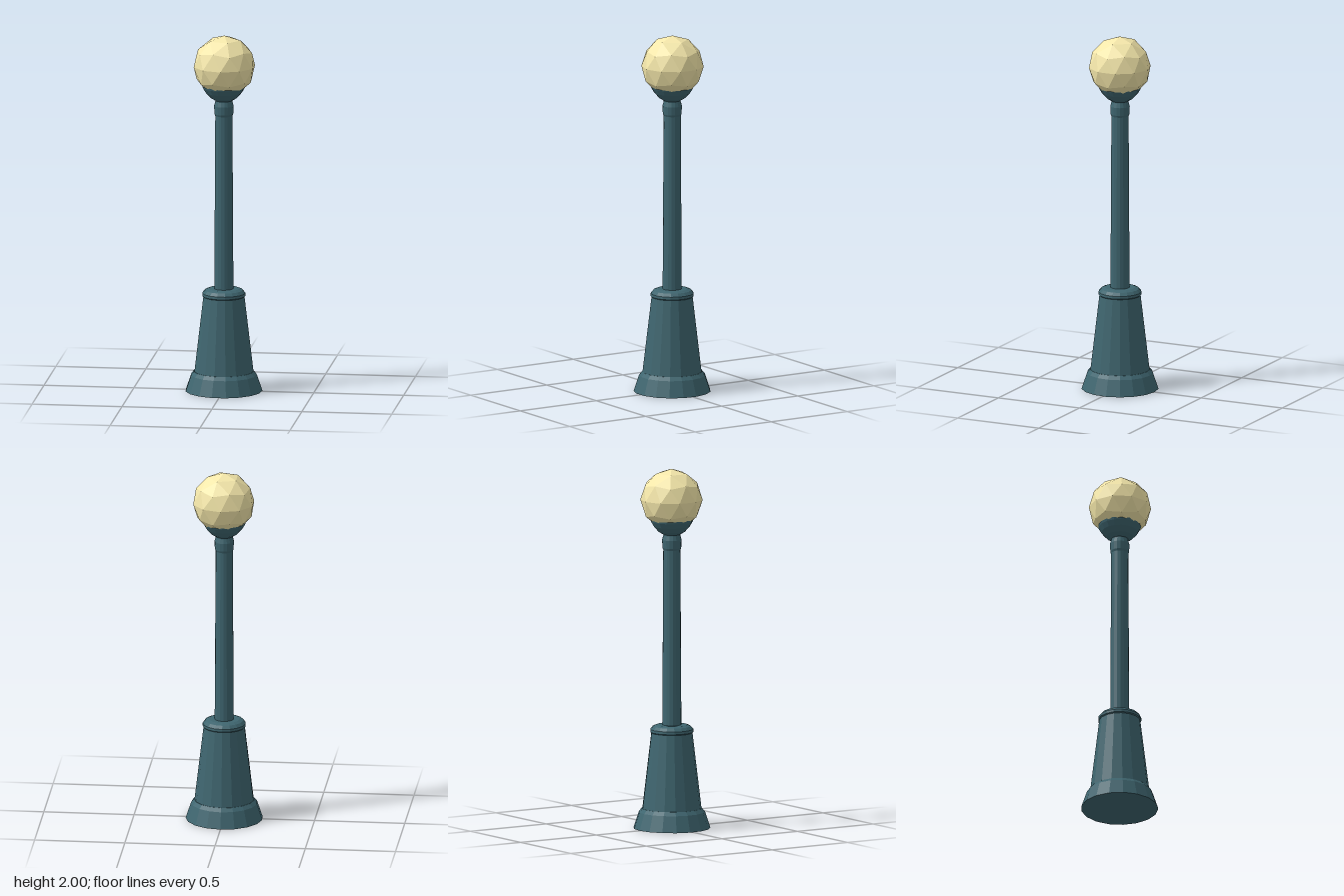
import * as THREE from 'three';

const SIDES = 17;

export function createModel() {
  const model = new THREE.Group();
  const iron = new THREE.MeshStandardMaterial({ color: 0x3f6670, flatShading: true });
  const glow = new THREE.MeshStandardMaterial({ color: 0xf4e7aa, flatShading: true });

  // Turned part from a profile of [radius, height], listed bottom to top
  function turned(name, profile) {
    const points = profile.map(([r, y]) => new THREE.Vector2(r, y));
    const mesh = new THREE.Mesh(new THREE.LatheGeometry(points, SIDES, Math.PI), iron);
    mesh.name = name;
    model.add(mesh);
  }

  // Flared foot with a bevelled shoulder
  turned('foot', [[0, 0], [0.213, 0], [0.183, 0.09], [0.166, 0.11], [0, 0.11]]);
  // Tapered pedestal
  turned('pedestal', [[0, 0.1], [0.165, 0.1], [0.113, 0.54], [0, 0.54]]);
  // Rounded moulding on the pedestal
  turned('pedestalCap', [[0, 0.527], [0.111, 0.527], [0.12, 0.535], [0.119, 0.55], [0.105, 0.567], [0.085, 0.575], [0, 0.575]]);
  // Slender post, slightly tapered
  turned('post', [[0, 0.56], [0.053, 0.56], [0.047, 1.65], [0, 1.65]]);
  // Collar ring near the top of the post
  turned('collar', [[0.046, 1.545], [0.052, 1.56], [0.054, 1.605], [0.047, 1.63], [0, 1.63]]);
  // Bowl that holds the globe
  turned('globeHolder', [[0, 1.632], [0.042, 1.632], [0.075, 1.652], [0.1, 1.68], [0.116, 1.707], [0.12, 1.72], [0, 1.72]]);

  // Faceted globe, turned so one corner points straight up
  const ball = new THREE.IcosahedronGeometry(0.172, 1);
  ball.rotateX(-Math.atan((1 + Math.sqrt(5)) / 2));
  ball.rotateY(Math.PI / 2);
  const globe = new THREE.Mesh(ball, glow);
  globe.name = 'lampGlobe';
  globe.position.set(0.003, 1.828, 0);
  model.add(globe);

  return model;
}
